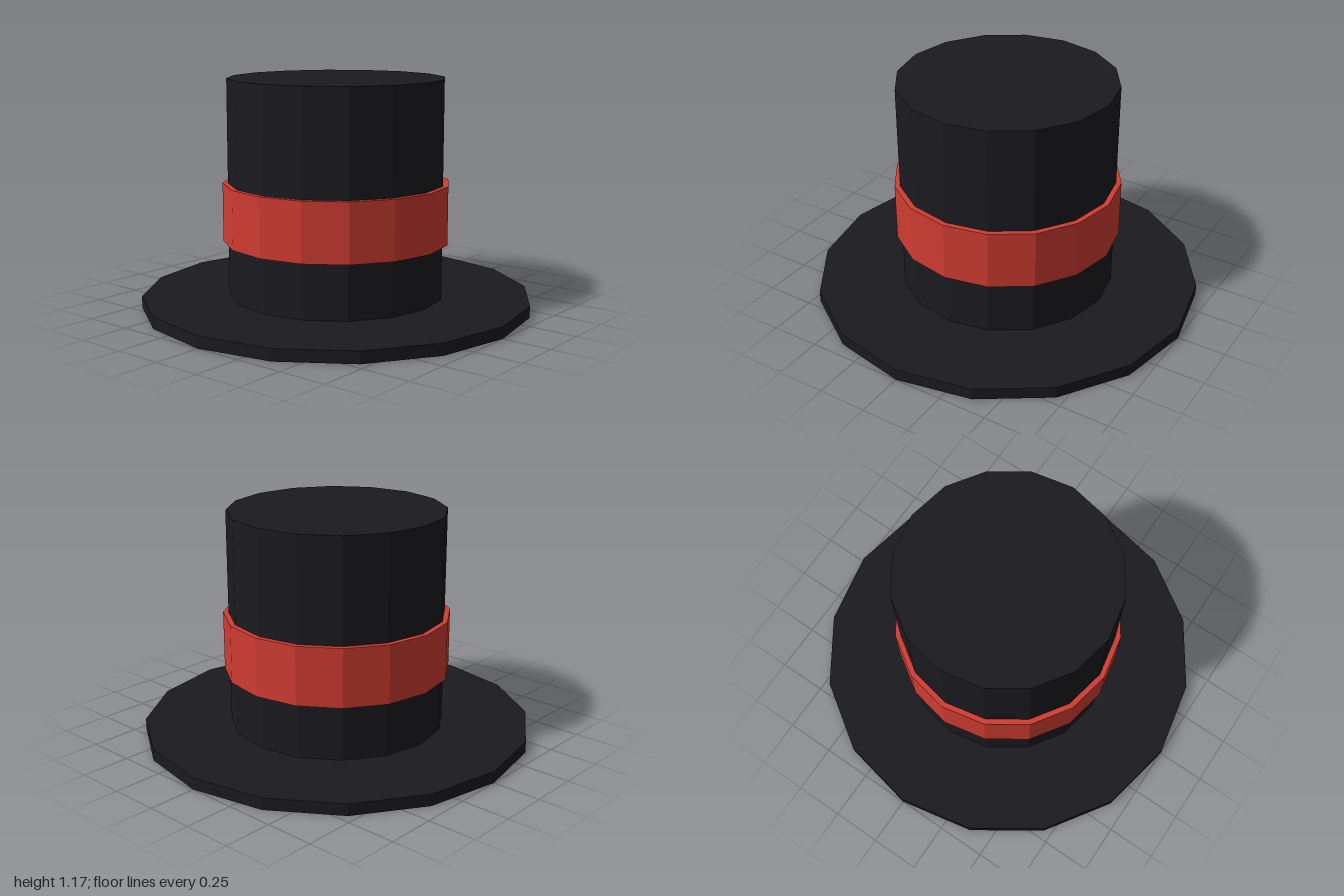
import * as THREE from 'three';

const SIDES = 16;
const CROWN_R = 0.553, BAND_R = 0.58, HOLE_R = 0.49;
const BRIM_TOP = 0.06, BAND_LOW = 0.34, BAND_HIGH = 0.64, TOP = 1.17;

// Faceted shell turned from a [radius, height] profile; its inside is visible too
function turned(name, color, profile) {
  const points = profile.map(([r, y]) => new THREE.Vector2(r, y));
  const material = new THREE.MeshStandardMaterial({ color, flatShading: true, side: THREE.DoubleSide });
  const mesh = new THREE.Mesh(new THREE.LatheGeometry(points, SIDES), material);
  mesh.name = name;
  return mesh;
}

export function createModel() {
  const hat = new THREE.Group();
  hat.name = 'topHat';
  const black = 0x1b1a1f, red = 0xd03c32;

  hat.add(
    // Flat brim with the head opening
    turned('brim', black, [
      [CROWN_R, BRIM_TOP], [HOLE_R, BRIM_TOP], [HOLE_R, 0], [1, 0], [1, BRIM_TOP], [CROWN_R, BRIM_TOP],
    ]),
    // Hollow crown wall below the band
    turned('lowerCrown', black, [[CROWN_R, BRIM_TOP], [CROWN_R, BAND_LOW]]),
    // Raised band with thin lips
    turned('band', red, [
      [CROWN_R, BAND_LOW], [BAND_R, BAND_LOW], [BAND_R, BAND_HIGH], [CROWN_R, BAND_HIGH],
    ]),
    // Upper crown closed by the flat top
    turned('upperCrown', black, [[CROWN_R, BAND_HIGH], [CROWN_R, TOP], [0, TOP]]),
  );
  return hat;
}
